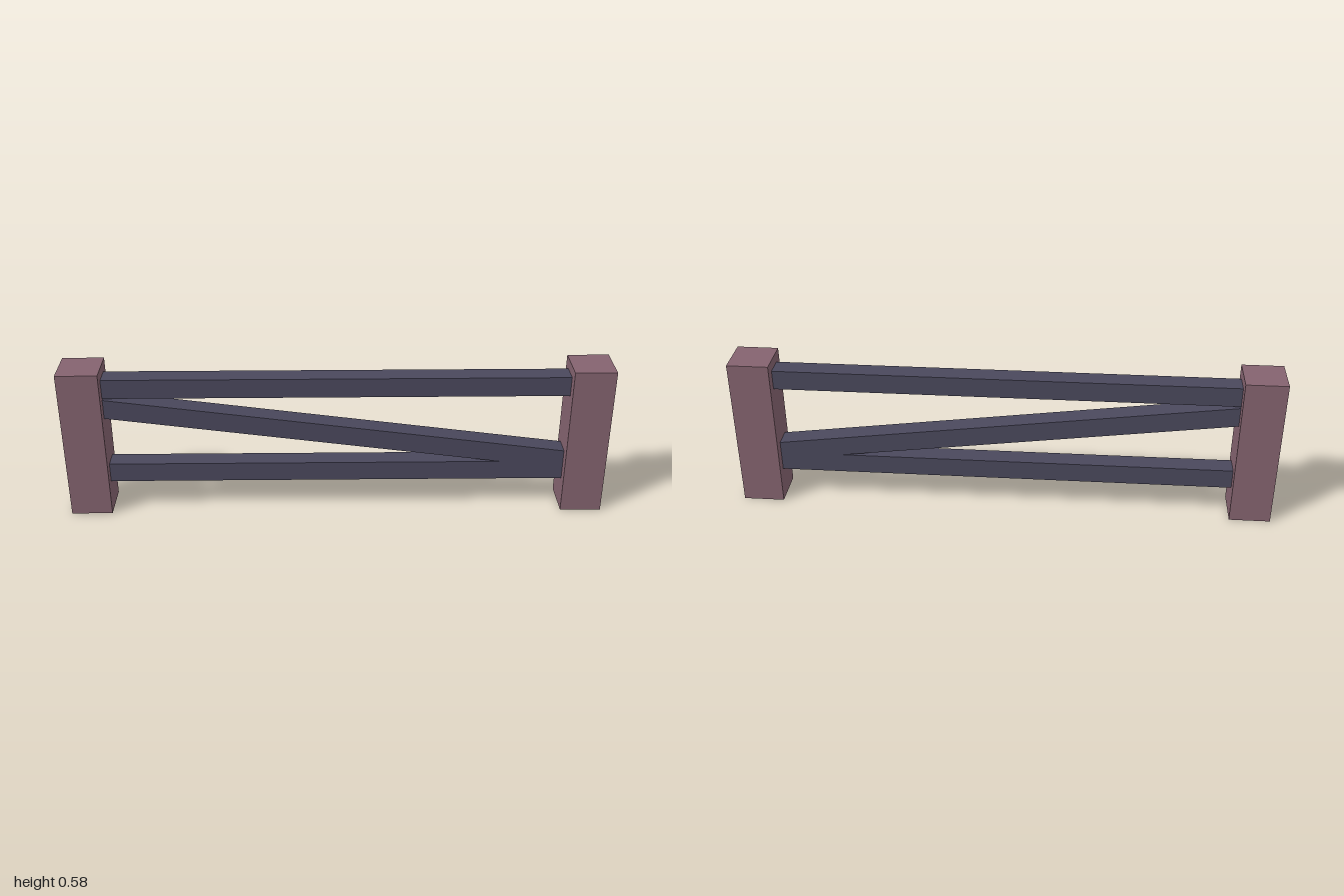
import * as THREE from 'three';

export function createModel() {
  const group = new THREE.Group();
  group.name = 'fence';
  const postMaterial = new THREE.MeshStandardMaterial({ color: 0x84636f });
  postMaterial.name = 'dusty mauve';
  const railMaterial = new THREE.MeshStandardMaterial({ color: 0x4a485c });
  railMaterial.name = 'slate';

  const postWidth = 0.152, postHeight = 0.577, railSize = 0.074;
  const postX = 1 - postWidth / 2;

  // Square end posts
  for (const [name, side] of [['leftPost', 1], ['rightPost', -1]]) {
    const post = new THREE.Mesh(new THREE.BoxGeometry(postWidth, postHeight, postWidth), postMaterial);
    post.name = name;
    post.position.set(side * postX, postHeight / 2, 0);
    group.add(post);
  }

  // Rails running between the post centres, from yRight (-x) to yLeft (+x)
  function addRail(name, yRight, yLeft) {
    const span = 2 * postX, rise = yLeft - yRight;
    const rail = new THREE.Mesh(
      new THREE.BoxGeometry(Math.hypot(span, rise), railSize, railSize), railMaterial);
    rail.name = name;
    rail.position.y = (yRight + yLeft) / 2;
    rail.rotation.z = Math.atan2(rise, span);
    group.add(rail);
  }
  addRail('topRail', 0.503, 0.503);
  addRail('bottomRail', 0.155, 0.155);
  addRail('diagonalBrace', 0.432, 0.188);

  return group;
}
